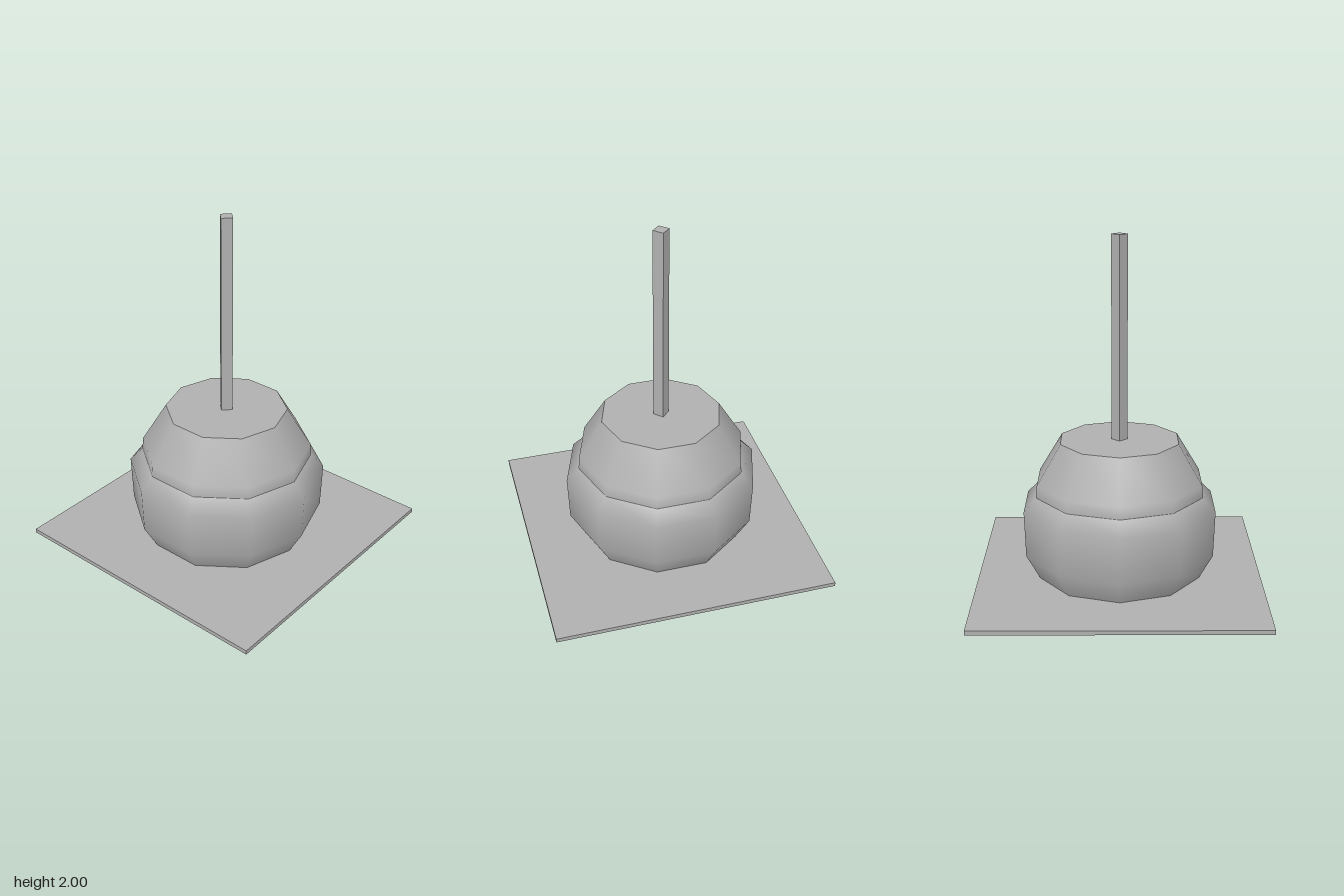
import * as THREE from 'three';

export function createModel() {
  const model = new THREE.Group();
  const grey = new THREE.MeshStandardMaterial({ color: 0xb0b0b0 });
  grey.name = 'grey';

  const add = (name, geometry, y = 0) => {
    const mesh = new THREE.Mesh(geometry, grey);
    mesh.name = name;
    mesh.position.y = y;
    model.add(mesh);
    return mesh;
  };

  // Ten-sided smooth band with corners on the x axis
  const sides = 10;
  const band = (profile) => new THREE.LatheGeometry(
    profile.map(([r, y]) => new THREE.Vector2(r, y)), sides, Math.PI / 2);

  // Thin square sheet
  add('baseSheet', new THREE.BoxGeometry(1.64, 0.025, 1.64), 0.0125);

  // Coating around the lower part, with a stepped rim
  add('coating', band([[0.485, 0.025], [0.565, 0.17], [0.575, 0.44], [0.5, 0.52]]));

  // Exposed upper part and its flat top
  add('upperBody', band([[0.5, 0.52], [0.495, 0.59], [0.353, 0.825]]));
  add('topCap', new THREE.CircleGeometry(0.353, sides), 0.825).rotation.x = -Math.PI / 2;

  // Square stick turned corner-on, sunk slightly into the top
  const stick = new THREE.CylinderGeometry(0.046, 0.046, 1.2, 4).toNonIndexed();
  stick.computeVertexNormals();
  add('stick', stick, 1.4);

  return model;
}
